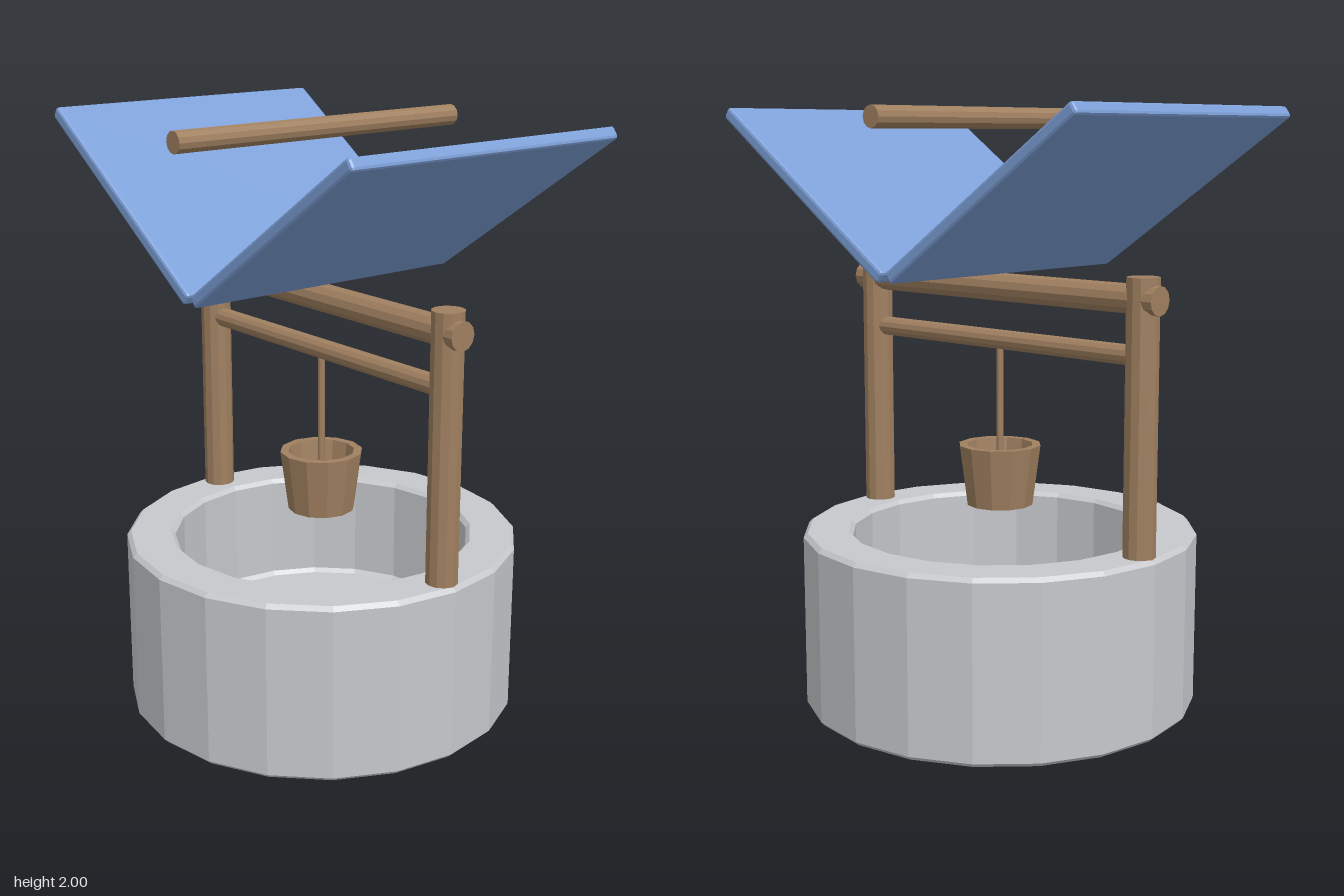
import * as THREE from 'three';
import { RoundedBoxGeometry } from 'three/addons/geometries/RoundedBoxGeometry.js';

function material(name, color) {
  const m = new THREE.MeshStandardMaterial({ color, flatShading: true });
  m.name = name;
  return m;
}

export function createModel() {
  const stone = material('stone grey', 0xc6c8cc);
  const wood = material('wood brown', 0xa08060);
  const blue = material('roof blue', 0x7da0d8);
  const model = new THREE.Group();
  model.name = 'well';

  function add(name, geometry, mat, x = 0, y = 0, z = 0) {
    const mesh = new THREE.Mesh(geometry, mat);
    mesh.name = name;
    mesh.position.set(x, y, z);
    model.add(mesh);
    return mesh;
  }
  const pole = (radius, length) => new THREE.CylinderGeometry(radius, radius, length, 12);
  const lathe = (points, sides) =>
    new THREE.LatheGeometry(points.map(([r, y]) => new THREE.Vector2(r, y)), sides);

  // Stone basin: chamfered ring wall with a closed floor
  const R = 0.665, r = 0.5, top = 0.6, floor = 0.22, c = 0.014;
  add('basin', lathe([
    [0, 0], [R - c, 0], [R, c], [R, top - c], [R - c, top],
    [r + c, top], [r, top - c], [r, floor + c], [r - c, floor], [0, floor],
  ], 20), stone);

  // Posts standing on the wall, and one roof panel on each side
  for (const [side, s] of [['left', 1], ['right', -1]]) {
    add(side + 'Post', pole(0.053, 0.93), wood, s * 0.6, 1.015, 0);
    const panel = add(side + 'RoofPanel',
      new RoundedBoxGeometry(0.903, 0.043, 1.05, 1, 0.01), blue, s * 0.39, 1.726, 0);
    panel.rotation.z = s * 0.6;
  }

  // Cross beam, winding rod and loose ridge pole
  add('crossBeam', pole(0.047, 1.33).rotateZ(Math.PI / 2), wood, 0, 1.41, 0);
  add('windingRod', pole(0.033, 1.16).rotateZ(Math.PI / 2), wood, 0, 1.235, 0);
  add('ridgePole', pole(0.035, 1.13).rotateX(Math.PI / 2), wood, 0, 1.96, 0);

  // Rope and hollow bucket
  add('rope', pole(0.012, 0.53), wood, 0, 0.965, 0);
  add('bucket', lathe([
    [0, 0.675], [0.113, 0.675], [0.14, 0.88], [0.112, 0.88], [0.092, 0.71], [0, 0.71],
  ], 12), wood);

  return model;
}
